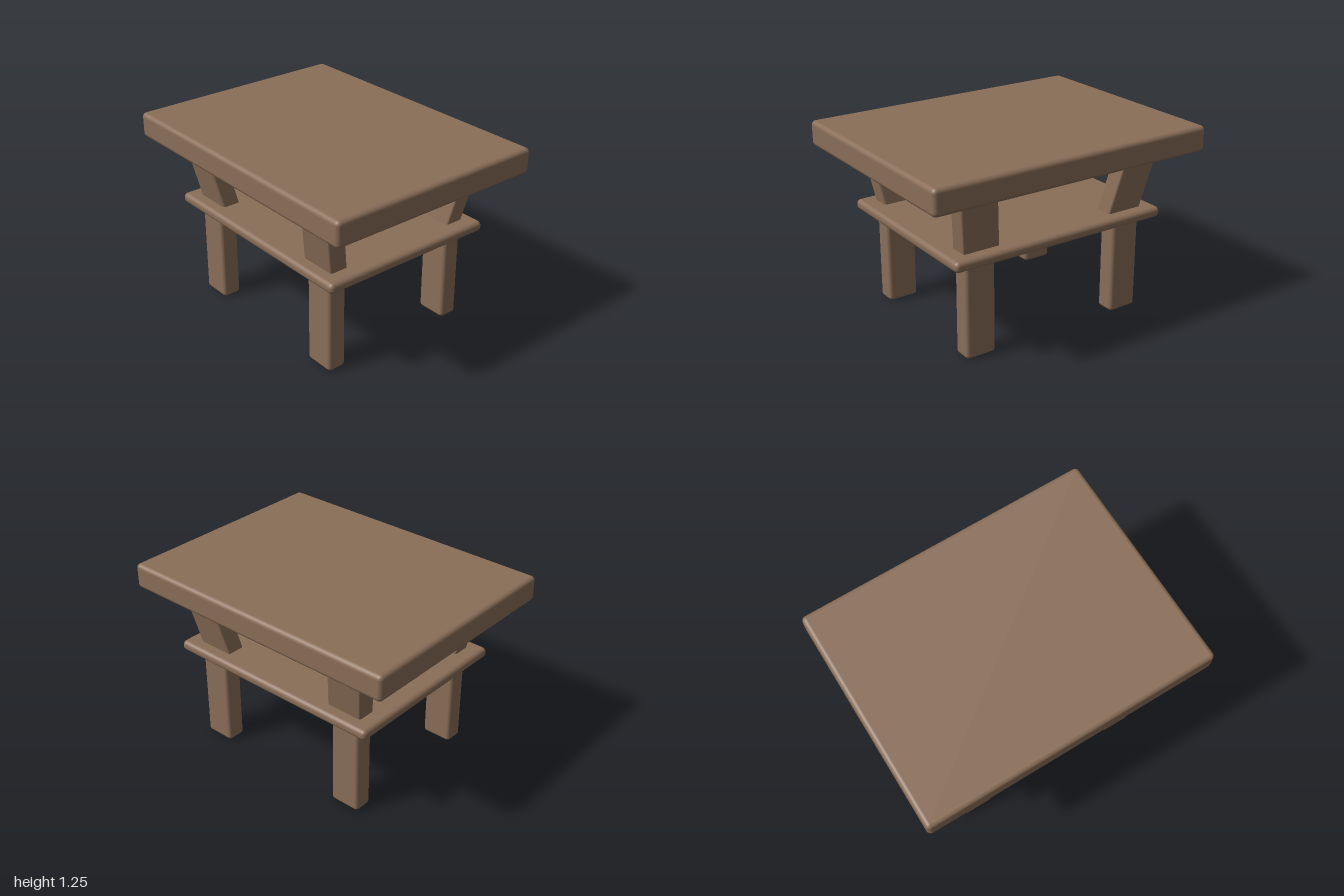
import * as THREE from 'three';
import { RoundedBoxGeometry } from 'three/addons/geometries/RoundedBoxGeometry.js';

export function createModel() {
  const table = new THREE.Group();
  table.name = 'table';
  const wood = new THREE.MeshStandardMaterial({ color: 0x8a6e58 });
  wood.name = 'brown wood';

  // Rounded plank between two heights, optionally leaning by dx, dz over its height
  function plank(name, width, depth, y0, y1, radius, x = 0, z = 0, dx = 0, dz = 0) {
    const h = y1 - y0;
    const geometry = new RoundedBoxGeometry(width, h, depth, 4, radius);
    geometry.applyMatrix4(new THREE.Matrix4().set(
      1, dx / h, 0, 0,
      0, 1, 0, 0,
      0, dz / h, 1, 0,
      0, 0, 0, 1));
    const mesh = new THREE.Mesh(geometry, wood);
    mesh.name = name;
    mesh.position.set(x, (y0 + y1) / 2, z);
    table.add(mesh);
  }

  plank('tabletop', 2, 1.53, 1.08, 1.25, 0.03);
  plank('shelf', 1.56, 1.25, 0.635, 0.705, 0.03);

  // Straight legs below the shelf, struts leaning outwards above it
  for (const sx of [-1, 1]) {
    for (const sz of [-1, 1]) {
      const corner = (sz > 0 ? 'front' : 'back') + (sx > 0 ? 'Left' : 'Right');
      plank(corner + 'Leg', 0.21, 0.13, 0, 0.67, 0.025, sx * 0.56, sz * 0.48);
      plank(corner + 'Strut', 0.255, 0.126, 0.67, 1.115, 0.015,
        sx * 0.577, sz * 0.515, sx * 0.069, sz * 0.09);
    }
  }
  return table;
}
